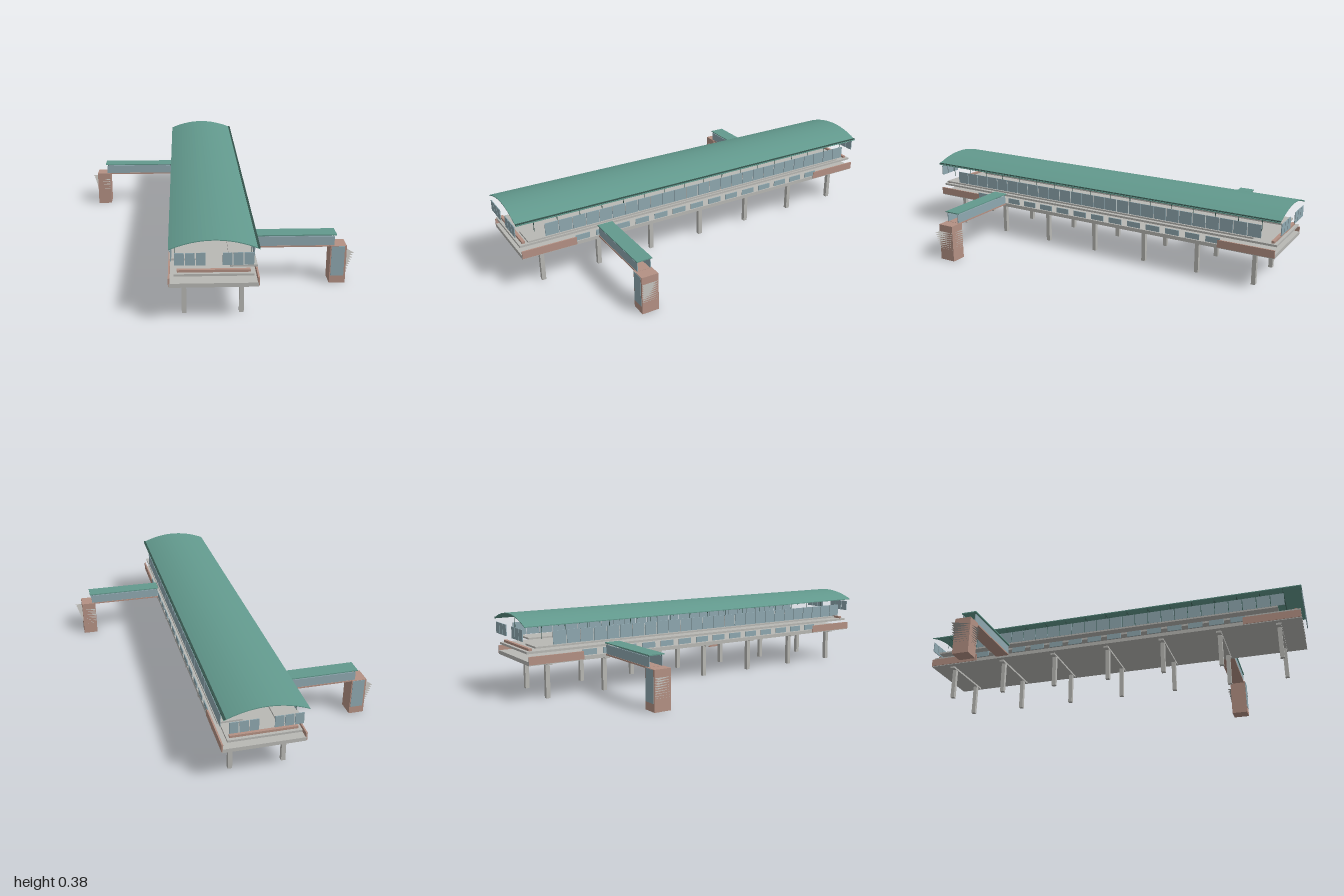
import * as THREE from 'three';

const mat = (name, color) => Object.assign(new THREE.MeshStandardMaterial({ color }), { name });

export function createModel() {
  const roofGreen = mat('roofGreen', 0x62998d);
  const glass = mat('glassBlue', 0x8fa8b0);
  glass.side = THREE.DoubleSide;
  const brick = mat('brickBrown', 0xb49184);
  const concrete = mat('concreteGrey', 0xb8b8b4);
  const stepGrey = mat('stepGrey', 0xb0aeaa);
  stepGrey.side = THREE.DoubleSide;
  const trim = mat('darkTrim', 0x34524b);

  const model = new THREE.Group();
  model.name = 'elevatedStation';

  // Box given by its limits on each axis
  const box = (parent, name, m, x0, x1, y0, y1, z0, z1) => {
    const mesh = new THREE.Mesh(new THREE.BoxGeometry(x1 - x0, y1 - y0, z1 - z0), m);
    mesh.position.set((x0 + x1) / 2, (y0 + y1) / 2, (z0 + z1) / 2);
    mesh.name = name;
    parent.add(mesh);
    return mesh;
  };

  // Thin rod between two points
  const rod = (parent, name, a, b, r) => {
    const p = new THREE.Vector3(...a), q = new THREE.Vector3(...b);
    const mesh = new THREE.Mesh(new THREE.CylinderGeometry(r, r, p.distanceTo(q), 6), trim);
    mesh.position.copy(p).add(q).multiplyScalar(0.5);
    mesh.quaternion.setFromUnitVectors(new THREE.Vector3(0, 1, 0), q.sub(p).normalize());
    mesh.name = name;
    parent.add(mesh);
  };

  // Curved roof shell
  const archY = x => 0.383 - 0.04 * (x / 0.184) ** 2;
  const shape = new THREE.Shape();
  const steps = 24;
  const archX = i => -0.184 + (0.368 * i) / steps;
  shape.moveTo(archX(0), archY(archX(0)));
  for (let i = 1; i <= steps; i++) shape.lineTo(archX(i), archY(archX(i)));
  for (let i = steps; i >= 0; i--) shape.lineTo(archX(i), archY(archX(i)) - 0.004);
  const roofGeo = new THREE.ExtrudeGeometry(shape, { depth: 1.98, bevelEnabled: false });
  roofGeo.translate(0, 0, -0.99);
  const roof = new THREE.Mesh(roofGeo, roofGreen);
  roof.name = 'archedRoof';
  model.add(roof);
  box(model, 'gutter', trim, 0.174, 0.184, 0.345, 0.348, -0.99, 0.99);

  // Roof trusses and posts
  for (let i = -8; i <= 8; i++) {
    const z = i * 0.1125;
    const truss = new THREE.Group();
    truss.name = 'roofTruss';
    rod(truss, 'tieRod', [-0.158, 0.344, z], [0.158, 0.344, z], 0.0015);
    for (const s of [-1, 1]) {
      rod(truss, 'roofPost', [s * 0.158, 0.28, z], [s * 0.158, archY(0.158) - 0.002, z], 0.0015);
      for (const x of [0.05, 0.095])
        rod(truss, 'strut', [s * x, 0.344, z], [s * (x - 0.006), archY(x) - 0.003, z], 0.001);
    }
    model.add(truss);
  }

  // Viaduct deck, track slab and piers
  box(model, 'deck', concrete, -0.184, 0.184, 0.168, 0.186, -0.975, 0.975);
  box(model, 'trackSlab', concrete, -0.163, 0.163, 0.218, 0.228, -0.975, 0.975);
  for (let i = -3; i <= 3; i++) {
    const z = i * 0.2885;
    box(model, 'capBeam', concrete, -0.16, 0.16, 0.158, 0.168, z - 0.012, z + 0.012);
    for (const x of [-0.122, 0.122])
      box(model, 'pier', concrete, x - 0.01, x + 0.01, 0, 0.158, z - 0.01, z + 0.01);
  }

  // Stack of triangular slats that widen upwards
  const slats = (parent, name, y0, y1, count, a, b, out) => {
    for (let i = 0; i < count; i++) {
      const t = (i + 1) / count;
      const y = y0 + (y1 - y0) * (i / (count - 1));
      const geo = new THREE.BufferGeometry();
      geo.setAttribute('position', new THREE.Float32BufferAttribute([
        a[0], y, a[1], b[0], y, b[1], b[0] + out[0] * t, y, b[1] + out[1] * t], 3));
      geo.computeVertexNormals();
      const mesh = new THREE.Mesh(geo, stepGrey);
      mesh.name = name;
      parent.add(mesh);
    }
  };

  // Each half is the other turned half a circle
  for (let h = 0; h < 2; h++) {
    const half = new THREE.Group();
    half.name = h ? 'rearHalf' : 'frontHalf';
    half.rotation.y = h * Math.PI;
    model.add(half);

    // Platform and its long window wall
    box(half, 'platform', concrete, 0.068, 0.18, 0.242, 0.25, -0.87, 0.94);
    for (let i = 0; i < 26; i++) {
      const z = 0.855 - i * 0.0678;
      box(half, 'sideWindow', glass, 0.173, 0.177, 0.252, 0.314, z - 0.064, z);
    }

    // Concourse windows and brick end panels along the deck edge
    for (let i = 0; i < 14; i++) {
      const z = 0.715 - i * 0.1043;
      box(half, 'concourseWindow', glass, 0.181, 0.185, 0.19, 0.217, z - 0.072, z);
    }
    box(half, 'brickPanel', brick, 0.18, 0.187, 0.172, 0.209, 0.71, 0.975);
    box(half, 'brickPanel', brick, 0.18, 0.187, 0.172, 0.209, -0.975, -0.7);

    // End beam and gable windows
    box(half, 'endBeam', brick, -0.15, 0.15, 0.228, 0.239, 0.945, 0.96);
    for (const s of [-1, 1])
      for (let i = 0; i < 3; i++) {
        const x = s * (0.0535 + i * 0.0435);
        box(half, 'gableWindow', glass, x - 0.0195, x + 0.0195, 0.274, 0.327, 0.988, 0.992);
      }

    // Covered footbridge
    const bridge = new THREE.Group();
    bridge.name = 'footbridge';
    half.add(bridge);
    box(bridge, 'bridgeFloor', brick, 0.184, 0.565, 0.178, 0.185, 0.526, 0.598);
    for (const z of [0.53, 0.594])
      box(bridge, 'bridgeGlass', glass, 0.185, 0.565, 0.185, 0.228, z - 0.002, z + 0.002);
    box(bridge, 'bridgeRoof', roofGreen, 0.18, 0.573, 0.234, 0.239, 0.524, 0.6);
    for (const x of [0.19, 0.56])
      for (const z of [0.53, 0.594])
        rod(bridge, 'bridgePost', [x, 0.18, z], [x, 0.235, z], 0.0015);

    // Stair tower with a glazed face
    const tower = new THREE.Group();
    tower.name = 'stairTower';
    half.add(tower);
    box(tower, 'towerBody', brick, 0.547, 0.621, 0, 0.184, 0.522, 0.604);
    box(tower, 'towerGlass', glass, 0.552, 0.612, 0.037, 0.182, 0.603, 0.606);
    slats(tower, 'outerSlat', 0.06, 0.148, 9, [0.621, 0.522], [0.621, 0.604], [0.035, 0]);
    slats(tower, 'innerSlat', 0.06, 0.148, 9, [0.605, 0.522], [0.55, 0.522], [0, -0.018]);
  }
  return model;
}
